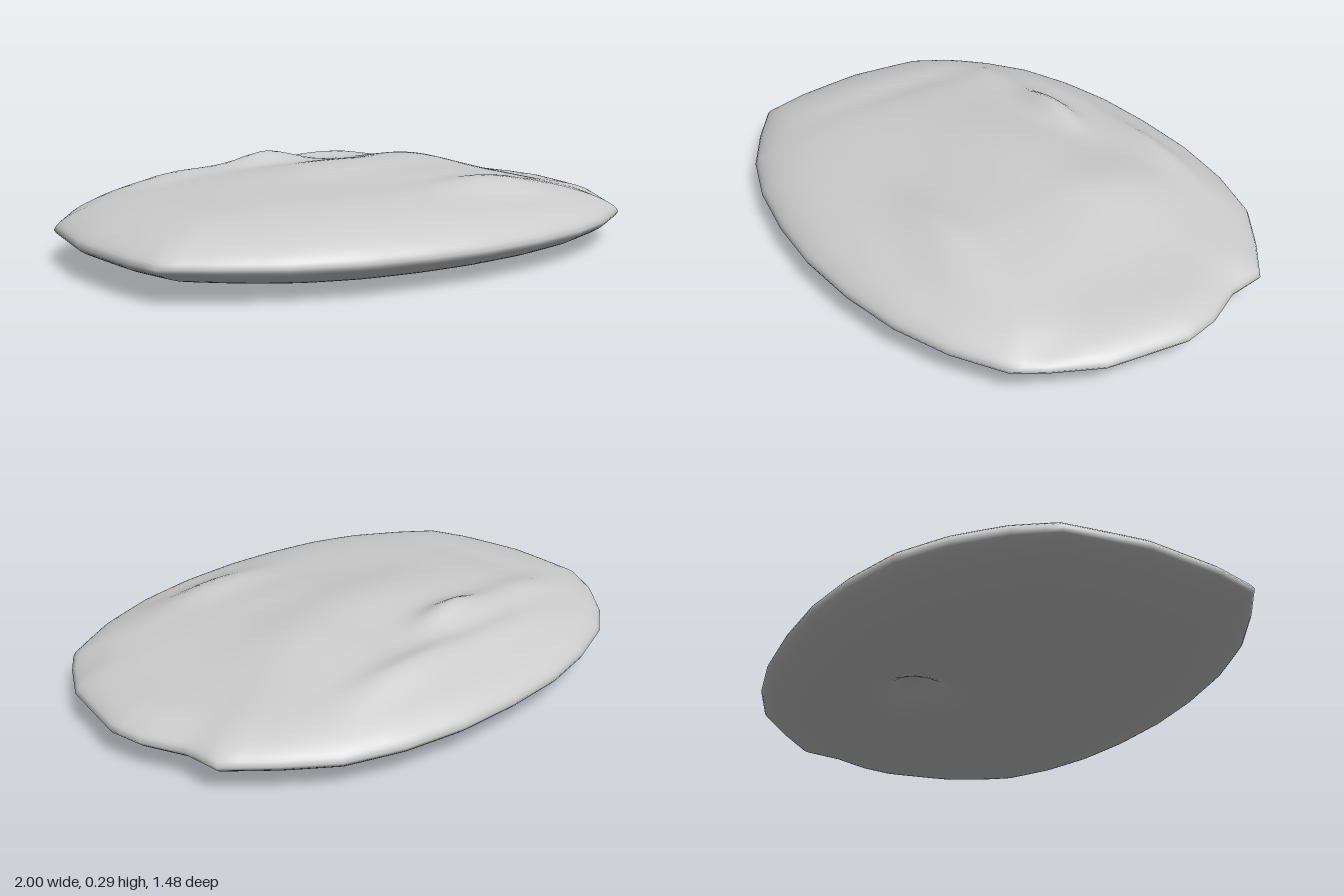
import * as THREE from 'three';
import { mergeVertices } from 'three/addons/utils/BufferGeometryUtils.js';

// Rim outline seen from above, as [x, z], running from +x toward +z
const OUTLINE = [
  [1, 0], [0.95, 0.27], [0.87, 0.42], [0.81, 0.51], [0.64, 0.61], [0.45, 0.68], [0.24, 0.72],
  [0.01, 0.735], [-0.2, 0.72], [-0.42, 0.68], [-0.62, 0.61], [-0.79, 0.51], [-0.93, 0.41],
  [-0.97, 0.26], [-1, 0], [-0.97, -0.27], [-0.89, -0.39], [-0.76, -0.52], [-0.61, -0.62],
  [-0.41, -0.69], [-0.21, -0.73], [0.01, -0.74], [0.24, -0.73], [0.45, -0.69], [0.64, -0.62],
  [0.78, -0.51], [0.91, -0.39], [0.92, -0.26], [0.98, -0.12],
];

// Soft lumps and hollows on the upper face: [x, z, width x, width z, height]
const LUMPS = [
  [0.05, -0.08, 0.4, 0.2, 0.036],     // middle swell
  [-0.12, -0.36, 0.15, 0.06, 0.05],   // rear peak
  [-0.5, -0.36, 0.25, 0.07, 0.022],   // rear ridge
  [0.25, -0.51, 0.24, 0.06, 0.032],   // outer rear ridge
  [-0.2, -0.52, 0.25, 0.06, 0.014],
  [0.28, 0.39, 0.22, 0.09, 0.03],     // front ridge
  [0.36, 0.55, 0.2, 0.07, -0.012],
  [0.25, 0.2, 0.3, 0.12, 0.012],
  [0.4, -0.2, 0.15, 0.2, 0.02],
  [-0.62, 0, 0.08, 0.4, -0.01],       // hollow inside the -x shoulder
  [0.76, 0, 0.2, 0.45, -0.032],       // slope at the +x end
  [0.86, 0.42, 0.08, 0.1, -0.04],     // chipped corner
];

// Hollows on the underside
const DENTS = [
  [0.05, -0.26, 0.11, 0.1, 0.08],
  [0.2, -0.12, 0.12, 0.08, 0.01],
  [0.05, -0.5, 0.5, 0.18, 0.012],
];

const bumps = (list, x, z) => list.reduce((sum, [cx, cz, wx, wz, h]) =>
  sum + h * Math.exp(-(((x - cx) / wx) ** 2) - ((z - cz) / wz) ** 2), 0);

// Height above or below the slightly tilted rim; t is 0 at the centre, 1 at the rim
const rimHeight = (x) => 0.109 - 0.006 * x;
const topHeight = (x, z, t) =>
  rimHeight(x) + 0.136 * (1 - t ** 4) ** 0.65 + bumps(LUMPS, x, z) * (1 - t ** 7);
const bottomHeight = (x, z, t) =>
  rimHeight(x * t) - 0.105 * (1 - t ** 4.5) ** 0.65 + bumps(DENTS, x, z) * (1 - t ** 7);

export function createModel() {
  const group = new THREE.Group();
  group.name = 'flatStone';

  // Split each outline segment, and pair each rim point with one on a smooth oval
  const SPLIT = 3, RINGS = 40;
  const rim = [];
  OUTLINE.forEach(([x, z], i) => {
    const [nx, nz] = OUTLINE[(i + 1) % OUTLINE.length];
    for (let k = 0; k < SPLIT; k++) {
      const px = x + ((nx - x) * k) / SPLIT, pz = z + ((nz - z) * k) / SPLIT;
      const oval = (Math.abs(px / 0.99) ** 2.4 + Math.abs(pz / 0.735) ** 2.4) ** (-1 / 2.4);
      rim.push([px, pz, oval]);
    }
  });

  // Rings run from the underside centre out to the rim and back over the top
  const positions = [], index = [], n = rim.length;
  for (let i = 0; i <= 2 * RINGS; i++) {
    const s = i <= RINGS ? i / RINGS : 2 - i / RINGS;
    const t = Math.min(1, Math.sin((s * Math.PI) / 2) * 0.7 + s * 0.3); // denser near the rim
    const height = i <= RINGS ? bottomHeight : topHeight;
    for (const [rx, rz, oval] of rim) {
      const r = t * (oval + (1 - oval) * t ** 3);
      positions.push(rx * r, height(rx * r, rz * r, t), rz * r);
    }
  }
  for (let i = 0; i < 2 * RINGS; i++) {
    for (let j = 0; j < n; j++) {
      const k = (j + 1) % n;
      const a = i * n + j, b = a + n, c = i * n + k, d = c + n;
      if (i === 0) {
        index.push(a, b, d);
      } else {
        index.push(a, b, c);
        if (i < 2 * RINGS - 1) index.push(c, b, d);
      }
    }
  }

  let geometry = new THREE.BufferGeometry();
  geometry.setAttribute('position', new THREE.Float32BufferAttribute(positions, 3));
  geometry.setIndex(index);
  geometry = mergeVertices(geometry, 1e-5);
  geometry.computeBoundingBox();
  geometry.translate(0, -geometry.boundingBox.min.y, 0);
  geometry.computeVertexNormals();

  const stone = new THREE.Mesh(geometry, new THREE.MeshStandardMaterial({ color: 0xcccccc }));
  stone.name = 'stone';
  group.add(stone);
  return group;
}
